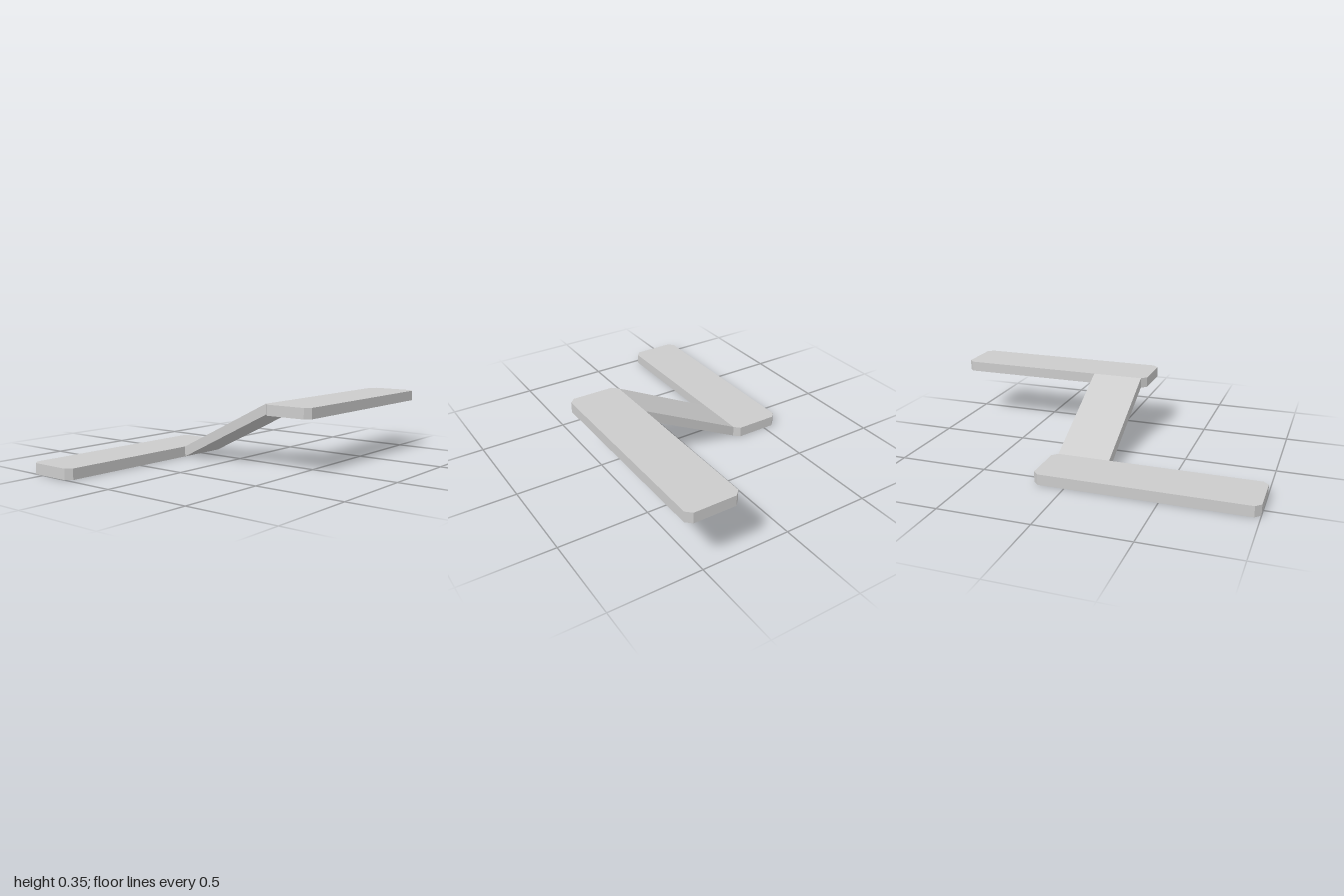
import * as THREE from 'three';

const THICK = 0.059, RISE = 0.295;      // plate thickness, height between plates
const INNER = 0.294, OUTER = 0.587;     // plate edges in x
const CUT = 0.03;                       // corner chamfer

function extrude(points, depth) {
  const shape = new THREE.Shape(points.map(([x, y]) => new THREE.Vector2(x, y)));
  return new THREE.ExtrudeGeometry(shape, { depth, bevelEnabled: false });
}

// Flat plate with chamfered corners, bottom face at y = 0
function plateGeometry(x0, x1, z0, z1) {
  const geometry = extrude([
    [x0 + CUT, z0], [x1 - CUT, z0], [x1, z0 + CUT], [x1, z1 - CUT],
    [x1 - CUT, z1], [x0 + CUT, z1], [x0, z1 - CUT], [x0, z0 + CUT],
  ], THICK);
  return geometry.rotateX(Math.PI / 2).translate(0, THICK, 0);
}

export function createModel() {
  const group = new THREE.Group();
  const material = new THREE.MeshStandardMaterial({ color: 0xcccccc, flatShading: true });
  const add = (name, geometry) => {
    const mesh = new THREE.Mesh(geometry, material);
    mesh.name = name;
    group.add(mesh);
    return mesh;
  };

  // Two matching plates, the upper one turned half round
  const plate = plateGeometry(-OUTER, -INNER, -0.177, 1);
  add('lowerPlate', plate);
  const upper = add('upperPlate', plate);
  upper.rotation.y = Math.PI;
  upper.position.y = RISE;

  // Sloping web joining their inner edges
  const width = 0.294;
  add('slopingWeb', extrude([
    [-INNER, 0], [INNER, RISE], [INNER, RISE + THICK], [-INNER, THICK],
  ], width).translate(0, 0, -width / 2));

  return group;
}
